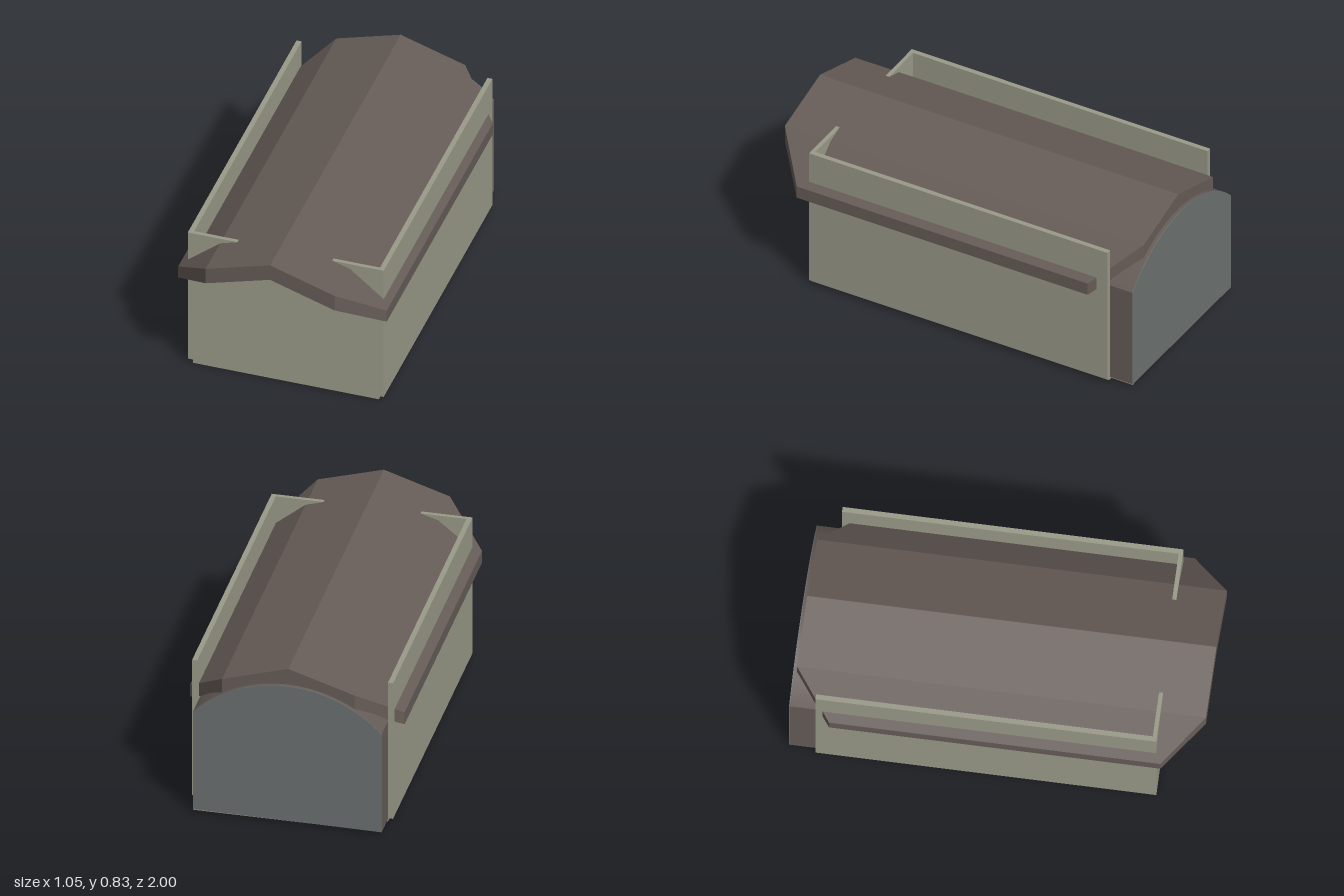
import * as THREE from 'three';

const olive = new THREE.MeshStandardMaterial({ name: 'olive wall', color: 0x9a9a89 });
const brown = new THREE.MeshStandardMaterial({ name: 'brown roof', color: 0x665c57 });
const grey = new THREE.MeshStandardMaterial({ name: 'grey panel', color: 0x6b706f });

export function createModel() {
  const model = new THREE.Group();
  model.name = 'shed';

  const add = (name, geometry, material) => {
    const mesh = new THREE.Mesh(geometry, material);
    mesh.name = name;
    model.add(mesh);
  };

  // Box given by its lower and upper corners
  const block = (name, [x0, y0, z0], [x1, y1, z1], material) => {
    const geometry = new THREE.BoxGeometry(x1 - x0, y1 - y0, z1 - z0);
    geometry.translate((x0 + x1) / 2, (y0 + y1) / 2, (z0 + z1) / 2);
    add(name, geometry, material);
  };

  // Extrudes a section along z, with front and back z depending on x
  const slab = (name, shape, backZ, frontZ, material) => {
    const geometry = new THREE.ExtrudeGeometry(shape, { depth: 1, bevelEnabled: false, curveSegments: 28 });
    const p = geometry.attributes.position;
    for (let i = 0; i < p.count; i++) {
      p.setZ(i, p.getZ(i) > 0.5 ? frontZ(p.getX(i)) : backZ(p.getX(i)));
    }
    geometry.computeVertexNormals();
    add(name, geometry, material);
  };

  // Floor and walls; the walls rise past the eaves
  block('floor', [-0.462, 0, -0.865], [0.47, 0.03, 0.764], olive);
  block('rightWall', [-0.487, 0.02, -0.87], [-0.462, 0.762, 0.765], olive);
  block('leftWall', [0.47, 0.02, -0.87], [0.495, 0.762, 0.765], olive);
  block('frontWall', [-0.487, 0.02, 0.745], [0.495, 0.762, 0.765], olive);

  // Roof of four slabs with clipped corners: x, top y, bottom y, back z, front z
  const roof = [
    [-0.527, 0.57, 0.505, -0.8, 0.79],
    [-0.325, 0.735, 0.65, -0.98, 0.982],
    [0, 0.835, 0.75, -0.975, 0.989],
    [0.325, 0.735, 0.65, -0.97, 0.996],
    [0.527, 0.57, 0.505, -0.78, 0.815],
  ];
  for (let i = 0; i < 4; i++) {
    const a = roof[i], b = roof[i + 1];
    const shape = new THREE.Shape([
      new THREE.Vector2(a[0], a[2]), new THREE.Vector2(b[0], b[2]),
      new THREE.Vector2(b[0], b[1]), new THREE.Vector2(a[0], a[1]),
    ]);
    const edge = (k) => (x) => a[k] + (b[k] - a[k]) * (x - a[0]) / (b[0] - a[0]);
    slab('roofSlab' + (i + 1), shape, edge(3), edge(4), brown);
  }

  // Arched rear section closed by a grey panel
  const half = 0.462, spring = 0.55, rise = 0.2;
  const radius = (half * half + rise * rise) / (2 * rise);
  const centreY = spring + rise - radius;
  const start = Math.atan2(spring - centreY, half);
  const arch = new THREE.Shape();
  arch.moveTo(-half, 0.015);
  arch.lineTo(half, 0.015);
  arch.lineTo(half, spring);
  arch.absarc(0, centreY, radius, start, Math.PI - start, false);
  arch.lineTo(-half, 0.015);
  const rear = (x) => -0.991 + 0.011 * x;
  slab('rearSection', arch, rear, () => -0.82, brown);
  slab('rearPanel', arch, (x) => rear(x) - 0.004, rear, grey);
  block('rearFloor', [-0.46, 0.01, -0.988], [0.46, 0.018, -0.86], olive);

  return model;
}
